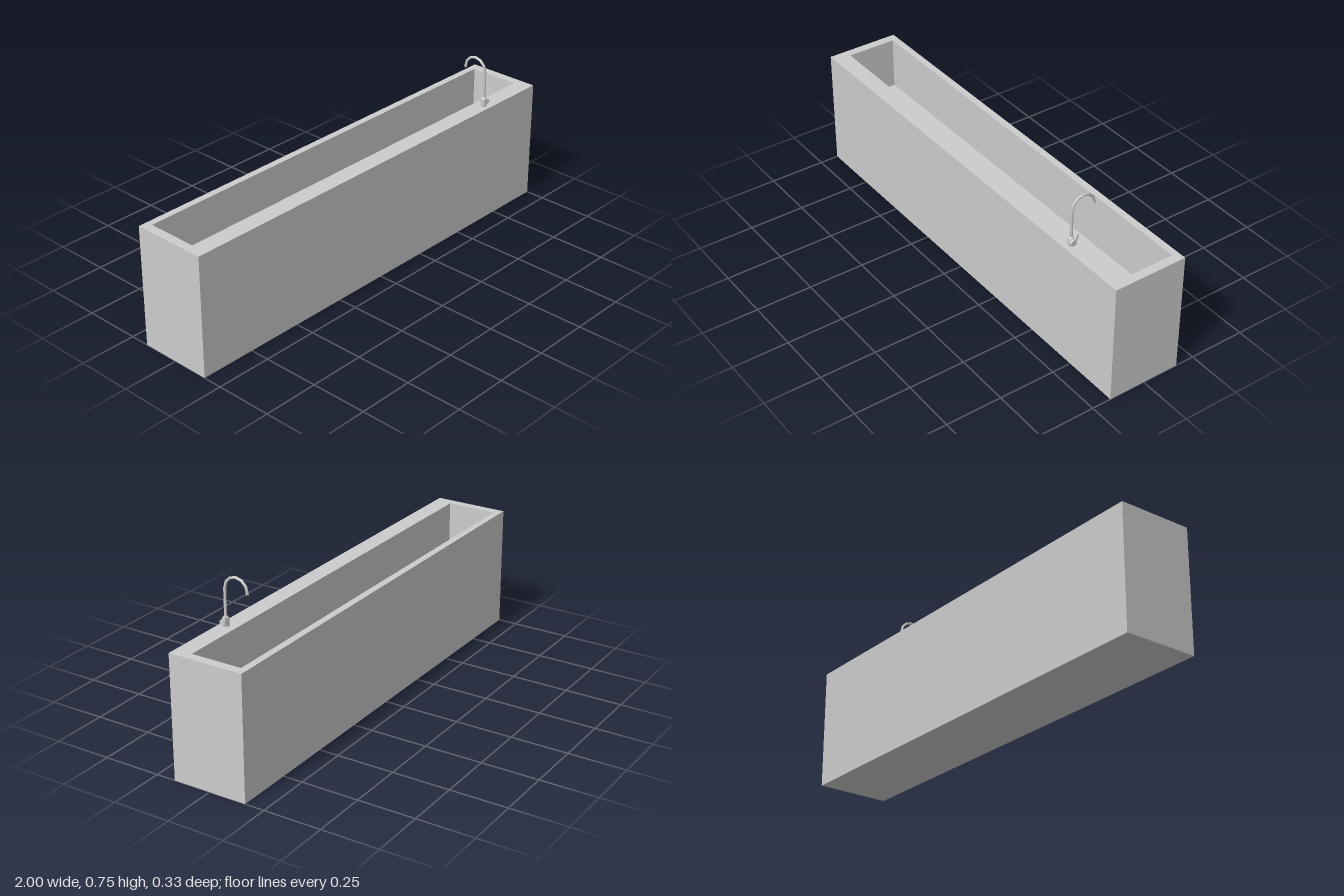
import * as THREE from 'three';

const material = new THREE.MeshStandardMaterial({ color: 0xcccccc });

function addPart(parent, name, geometry, x, y, z) {
  const mesh = new THREE.Mesh(geometry, material);
  mesh.name = name;
  mesh.position.set(x, y, z);
  parent.add(mesh);
  return mesh;
}

// Rectangle in plan; shape y is minus z
function rectangle(Type, x0, x1, z0, z1) {
  return new Type([[x0, z0], [x0, z1], [x1, z1], [x1, z0]].map(([x, z]) => new THREE.Vector2(x, -z)));
}

function createTrough() {
  const trough = new THREE.Group();
  trough.name = 'trough';
  const height = 0.535, floorY = 0.3;

  // Walls and rim, with a wider ledge at the front for the tap
  const plan = rectangle(THREE.Shape, -1, 1, -0.165, 0.165);
  plan.holes.push(rectangle(THREE.Path, -0.96, 0.96, -0.135, 0.088));
  const walls = new THREE.ExtrudeGeometry(plan, { depth: height, bevelEnabled: false });
  walls.rotateX(-Math.PI / 2);
  addPart(trough, 'walls', walls, 0, 0, 0);

  // Solid bottom filling the opening
  addPart(trough, 'basinFloor', new THREE.BoxGeometry(1.92, floorY, 0.223), 0, floorY / 2, -0.0235);
  return trough;
}

function createTap() {
  const tap = new THREE.Group();
  tap.name = 'tap';
  tap.position.set(0.69, 0.535, 0.133);
  const pipe = 0.006, bend = 0.0525, bendY = 0.158;

  // Body and collar
  addPart(tap, 'tapBody', new THREE.CylinderGeometry(0.0135, 0.0135, 0.035, 12), 0, 0.0175, 0);
  addPart(tap, 'collar', new THREE.CylinderGeometry(0.008, 0.0125, 0.006, 12), 0, 0.038, 0);

  // Upright pipe, half-round bend and outlet
  addPart(tap, 'uprightPipe', new THREE.CylinderGeometry(pipe, pipe, bendY - 0.035, 8), 0, (bendY + 0.035) / 2, 0);
  const arc = new THREE.TorusGeometry(bend, pipe, 8, 6, Math.PI);
  arc.rotateY(Math.PI / 2);
  addPart(tap, 'spoutBend', arc, 0, bendY, -bend);
  addPart(tap, 'outlet', new THREE.CylinderGeometry(pipe, pipe, 0.007, 8), 0, bendY - 0.0035, -2 * bend);

  // Side knob with its tilted lever
  const handle = new THREE.Group();
  handle.name = 'handle';
  handle.position.set(0.012, 0.02, 0.001);
  handle.rotation.x = -0.38;
  tap.add(handle);
  const knob = new THREE.CylinderGeometry(0.014, 0.014, 0.018, 8);
  knob.rotateZ(Math.PI / 2);
  addPart(handle, 'knob', knob, 0, 0, 0);
  addPart(handle, 'lever', new THREE.BoxGeometry(0.005, 0.036, 0.009), 0.007, 0.018, -0.005);
  return tap;
}

export function createModel() {
  const model = new THREE.Group();
  model.name = 'washTrough';
  model.add(createTrough(), createTap());
  return model;
}
